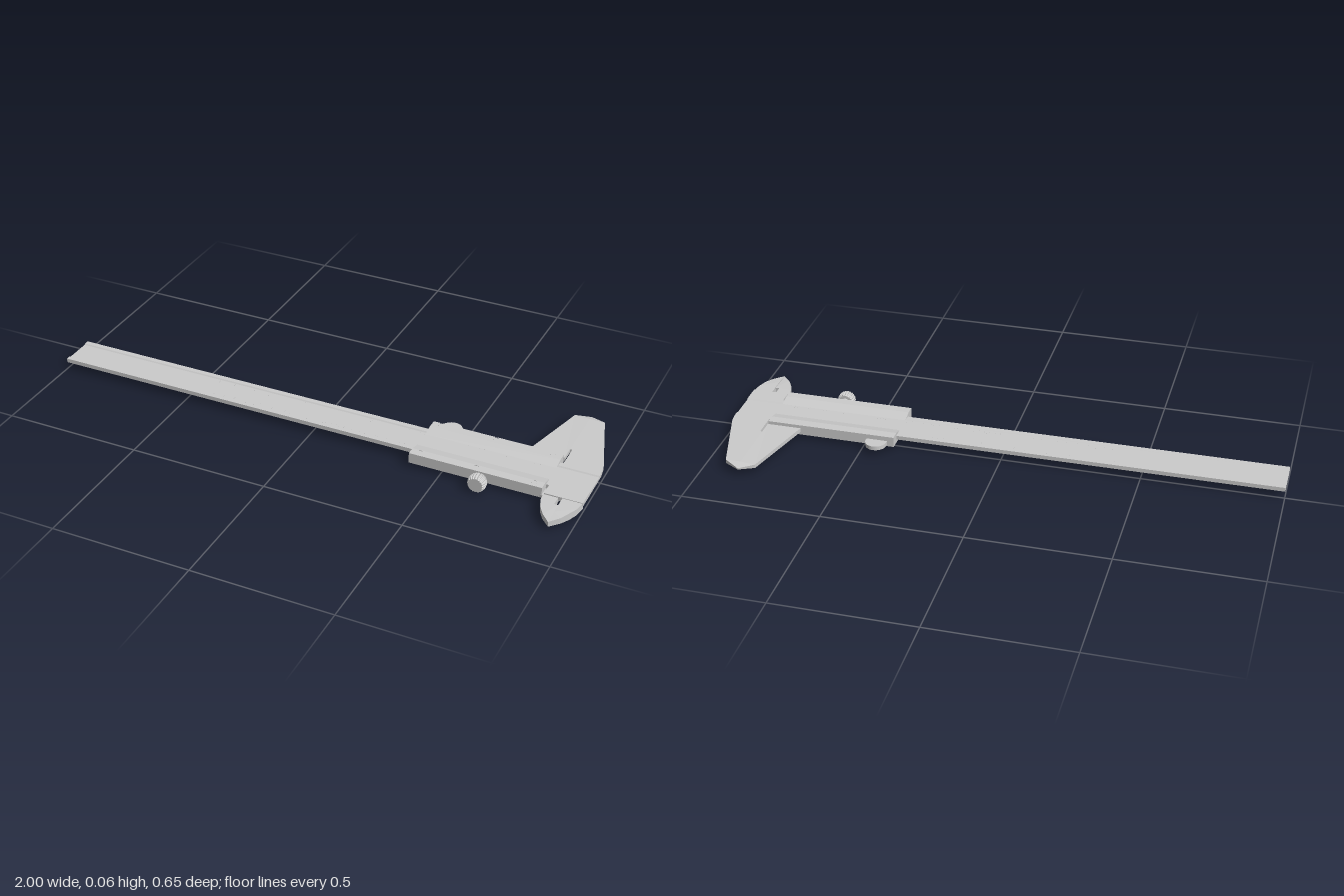
import * as THREE from 'three';
import { mergeGeometries, toCreasedNormals } from 'three/addons/utils/BufferGeometryUtils.js';

const metal = new THREE.MeshStandardMaterial({ color: 0xcccccc, metalness: 0.1, roughness: 0.6 });

function part(name, geometry) {
  const mesh = new THREE.Mesh(geometry, metal);
  mesh.name = name;
  return mesh;
}

// Flat plate from an [x, z] outline, between heights y0 and y1
function plate(points, y0, y1, holes = []) {
  const shape = new THREE.Shape(points.map(([x, z]) => new THREE.Vector2(x, -z)));
  for (const [x, z, r] of holes) {
    shape.holes.push(new THREE.Path().absarc(x, -z, r, 0, Math.PI * 2, true));
  }
  const g = new THREE.ExtrudeGeometry(shape, { depth: y1 - y0, bevelEnabled: false, curveSegments: 10 });
  return g.rotateX(-Math.PI / 2).translate(0, y0, 0);
}

// Bar of constant [z, y] cross-section running along x
function bar(points, x0, x1) {
  const shape = new THREE.Shape(points.map(([z, y]) => new THREE.Vector2(-z, y)));
  const g = new THREE.ExtrudeGeometry(shape, { depth: x1 - x0, bevelEnabled: false });
  return g.rotateY(Math.PI / 2).translate(x0, 0, 0);
}

// Lowers the top of a plate beyond |z| = start, reaching drop at end
function thinTip(g, start, end, drop, minY) {
  const p = g.attributes.position;
  for (let i = 0; i < p.count; i++) {
    const t = (Math.abs(p.getZ(i)) - start) / (end - start);
    if (t > 0 && p.getY(i) > minY) p.setY(i, p.getY(i) - drop * Math.min(t, 1));
  }
  g.computeVertexNormals();
  return g;
}

function box(w, h, d, x, y, z) {
  return new THREE.BoxGeometry(w, h, d).translate(x, y, z);
}

export function createModel() {
  const model = new THREE.Group();
  model.name = 'caliper';

  // Main beam with a shallow groove between two raised rails
  model.add(part('beam', bar([
    [0, 0.026], [0.14, 0.026], [0.14, 0.041], [0.122, 0.041],
    [0.118, 0.037], [0.022, 0.037], [0.018, 0.041], [0, 0.041],
  ], -1, 1)));

  // Fixed head: large jaw behind the beam, shoulder and small jaw in front
  model.add(part('fixedLargeJaw', thinTip(plate([
    [0.86, -0.33], [0.915, -0.3], [0.995, -0.04], [1, 0],
    [0.868, 0], [0.868, -0.09], [0.86, -0.09], [0.86, -0.3],
  ], 0.026, 0.041), 0.3, 0.33, 0.01, 0.03)));
  model.add(part('fixedShoulder', plate([[0.867, 0.14], [1, 0.14], [1, 0.19], [0.867, 0.19]], 0.026, 0.041)));
  model.add(part('fixedSmallJaw', thinTip(plate([
    [0.93, 0.185], [1, 0.185], [0.993, 0.225], [0.98, 0.26], [0.96, 0.293], [0.93, 0.325], [0.93, 0.27],
  ], 0.015, 0.039), 0.27, 0.325, 0.005, 0.03)));

  // Sliding frame wrapping the beam, open along the top
  const slider = new THREE.Group();
  slider.name = 'slider';
  slider.add(part('sliderFrame', bar([
    [-0.035, 0.015], [0.183, 0.015], [0.183, 0.049], [0.15, 0.049], [0.15, 0.053], [0.11, 0.043],
    [0.142, 0.042], [0.142, 0.026], [-0.002, 0.026], [-0.002, 0.042], [0.038, 0.043],
    [0, 0.053], [0, 0.049], [-0.035, 0.049],
  ], 0.385, 0.857)));

  // Cover strips with countersunk slotted screws
  const screwX = [0.416, 0.618, 0.822];
  for (const [z0, z1, zs] of [[-0.035, 0, -0.023], [0.15, 0.183, 0.162]]) {
    slider.add(part('coverStrip', plate(
      [[0.385, z0], [0.857, z0], [0.857, z1], [0.385, z1]], 0.049, 0.053,
      screwX.map((x) => [x, zs, 0.0105]))));
    for (const x of screwX) {
      const screw = new THREE.Group();
      screw.name = 'coverScrew';
      for (const side of [0, Math.PI]) {
        const half = new THREE.CylinderGeometry(0.0095, 0.0095, 0.003, 10, 1, false, side + 0.1, Math.PI - 0.2);
        screw.add(part('screwHead', half.translate(x, 0.0505, zs)));
      }
      slider.add(screw);
    }
  }

  // Sliding jaws
  slider.add(part('slidingLargeJaw', thinTip(plate([
    [0.735, -0.034], [0.805, -0.305], [0.86, -0.33], [0.86, -0.3], [0.86, -0.034],
  ], 0.026, 0.041), 0.3, 0.33, 0.01, 0.03)));
  slider.add(part('slidingJawBridge', plate([[0.85, 0.147], [0.915, 0.147], [0.915, 0.195], [0.85, 0.183]], 0.015, 0.026)));
  slider.add(part('slidingSmallJaw', thinTip(plate([
    [0.865, 0.19], [0.916, 0.19], [0.916, 0.228], [0.93, 0.228], [0.93, 0.325],
    [0.9, 0.293], [0.88, 0.26], [0.868, 0.225],
  ], 0.015, 0.037), 0.27, 0.325, 0.005, 0.03)));

  // Half-round thumb rest
  const rest = [[0.41, -0.034]];
  for (let i = 0; i <= 16; i++) {
    const a = (i / 16) * Math.PI;
    rest.push([0.448 - 0.038 * Math.cos(a), -0.045 - 0.038 * Math.sin(a)]);
  }
  rest.push([0.486, -0.034]);
  slider.add(part('thumbRest', plate(rest, 0.021, 0.036)));

  // Locking screw: barrel-shaped knob with ribs around its rim
  const knobProfile = [[0, 0], [0.027, 0], [0.031, 0.007], [0.0325, 0.018], [0.031, 0.03], [0.026, 0.038], [0, 0.038]]
    .map(([r, h]) => new THREE.Vector2(r, h));
  let knob = new THREE.LatheGeometry(knobProfile, 80);
  const kp = knob.attributes.position;
  for (let i = 0; i < kp.count; i++) {
    const column = Math.floor(i / knobProfile.length);
    const s = column % 4 < 2 ? 1 : 0.92;
    kp.setX(i, kp.getX(i) * s);
    kp.setZ(i, kp.getZ(i) * s);
  }
  knob = toCreasedNormals(knob, 0.5).rotateX(Math.PI / 2).translate(0.645, 0.0325, 0.198);
  slider.add(part('lockKnob', knob));
  const neck = new THREE.CylinderGeometry(0.015, 0.015, 0.02, 20).rotateX(Math.PI / 2);
  slider.add(part('lockNeck', neck.translate(0.645, 0.0325, 0.19)));
  model.add(slider);

  // Fine scale ticks along both sides of the groove
  const ticks = [];
  for (let i = 0; i <= 125; i++) {
    const len = i % 10 === 0 ? 0.016 : i % 5 === 0 ? 0.012 : 0.008;
    ticks.push(box(0.0012, 0.0006, len, -0.42 + i * 0.01, 0.037, 0.116 - len / 2));
    if (i % 2 === 0) ticks.push(box(0.0012, 0.0006, len, -0.42 + i * 0.01, 0.037, 0.024 + len / 2));
  }
  model.add(part('scaleTicks', mergeGeometries(ticks)));

  return model;
}
